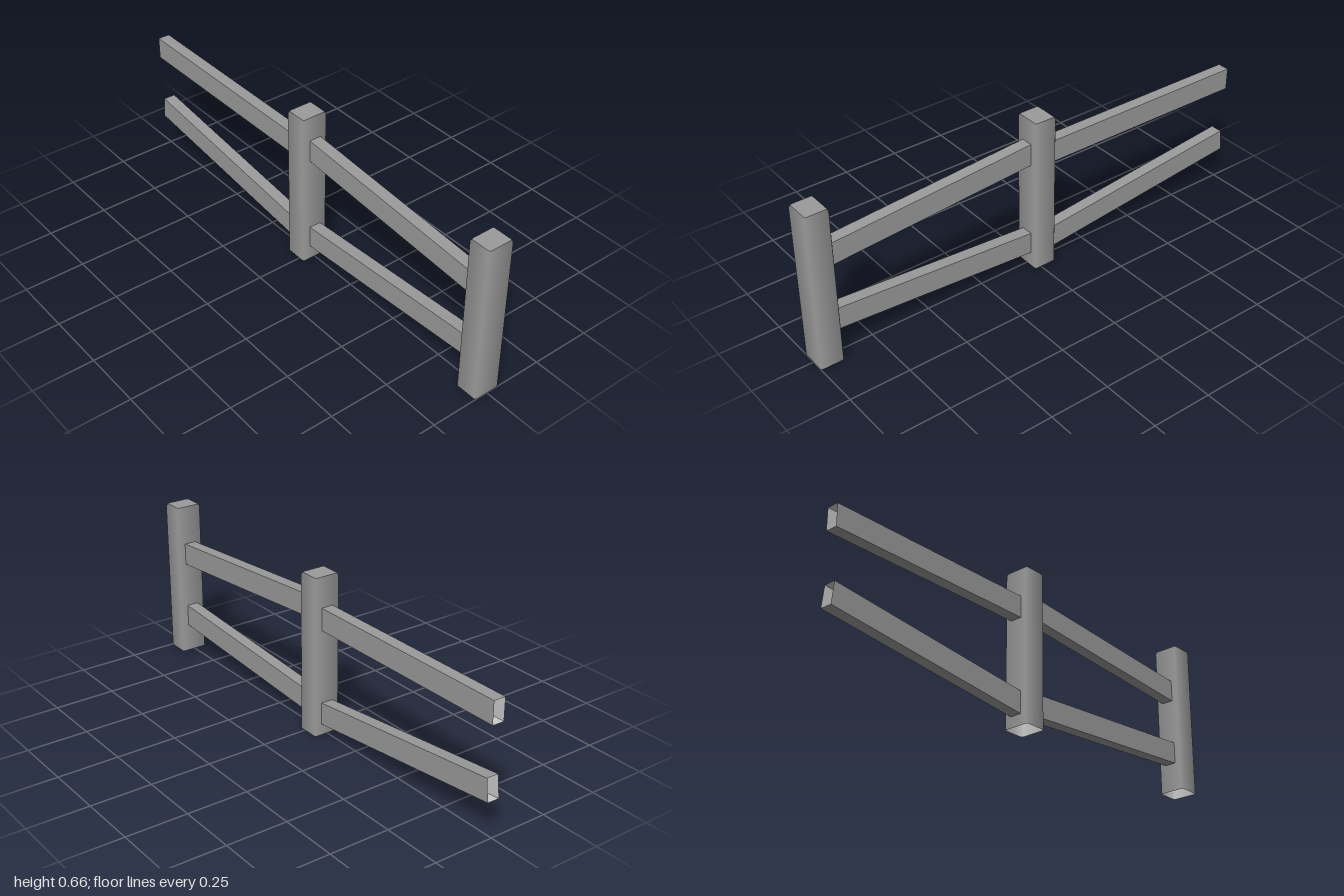
import * as THREE from 'three';

const outer = new THREE.MeshStandardMaterial({ color: 0x9a9a9a });
const inner = new THREE.MeshStandardMaterial({ color: 0xffffff, side: THREE.BackSide });

// Hollow part: grey outside, pale lining inside
function createHollow(name, ...geometries) {
  const part = new THREE.Group();
  part.name = name;
  for (const geometry of geometries) {
    const shell = new THREE.Mesh(geometry, outer);
    shell.name = 'shell';
    const lining = new THREE.Mesh(geometry, inner);
    lining.name = 'lining';
    part.add(shell, lining);
  }
  return part;
}

// Square post with narrow softened corners, a bevelled top and an open underside
function createPost(name, x) {
  const width = 0.096, depth = 0.112, chamfer = 0.005;
  const rows = { '-1': [0, 1], 0: [0.651, 1], 1: [0.66, 0.9] }; // height and inset
  const squareOff = (value, size) => Math.sign(value) * (size / 2 - (Math.abs(value) > 0.8 ? 0 : chamfer));

  const sides = new THREE.CylinderGeometry(1, 1, 2, 8, 2, true, Math.PI / 8);
  const cap = new THREE.CircleGeometry(1, 8, Math.PI / 8).rotateX(-Math.PI / 2).translate(0, 1, 0);
  for (const geometry of [sides, cap]) {
    const p = geometry.attributes.position;
    for (let i = 0; i < p.count; i++) {
      const [y, inset] = rows[Math.round(p.getY(i))];
      const centre = Math.hypot(p.getX(i), p.getZ(i)) < 0.1;
      const px = centre ? 0 : squareOff(p.getX(i), width) * inset;
      const pz = centre ? 0 : squareOff(p.getZ(i), depth) * inset;
      p.setXYZ(i, px, y, pz);
    }
  }

  const post = createHollow(name, sides, cap);
  post.position.x = x;
  return post;
}

// Rail between two centre points; a box without its two end faces
function createRail(name, [x0, y0], [x1, y1]) {
  const length = Math.hypot(x1 - x0, y1 - y0);
  const geometry = new THREE.BoxGeometry(length, 0.092, 0.05);
  geometry.setIndex(Array.from(geometry.index.array).slice(12));
  geometry.clearGroups();
  const rail = createHollow(name, geometry);
  rail.position.set((x0 + x1) / 2, (y0 + y1) / 2, -0.001);
  rail.rotation.z = Math.atan2(y1 - y0, x1 - x0);
  return rail;
}

export function createModel() {
  const fence = new THREE.Group();
  fence.name = 'fence';
  fence.add(
    createPost('middlePost', -0.021),
    createPost('endPost', 0.952),
    // Rails run a little way into the posts
    createRail('upperRightRail', [-1, 0.489], [-0.045, 0.491]),
    createRail('lowerRightRail', [-0.995, 0.194], [-0.045, 0.09]),
    createRail('upperLeftRail', [0.0, 0.518], [0.93, 0.449]),
    createRail('lowerLeftRail', [0.0, 0.107], [0.93, 0.168]),
  );
  return fence;
}
